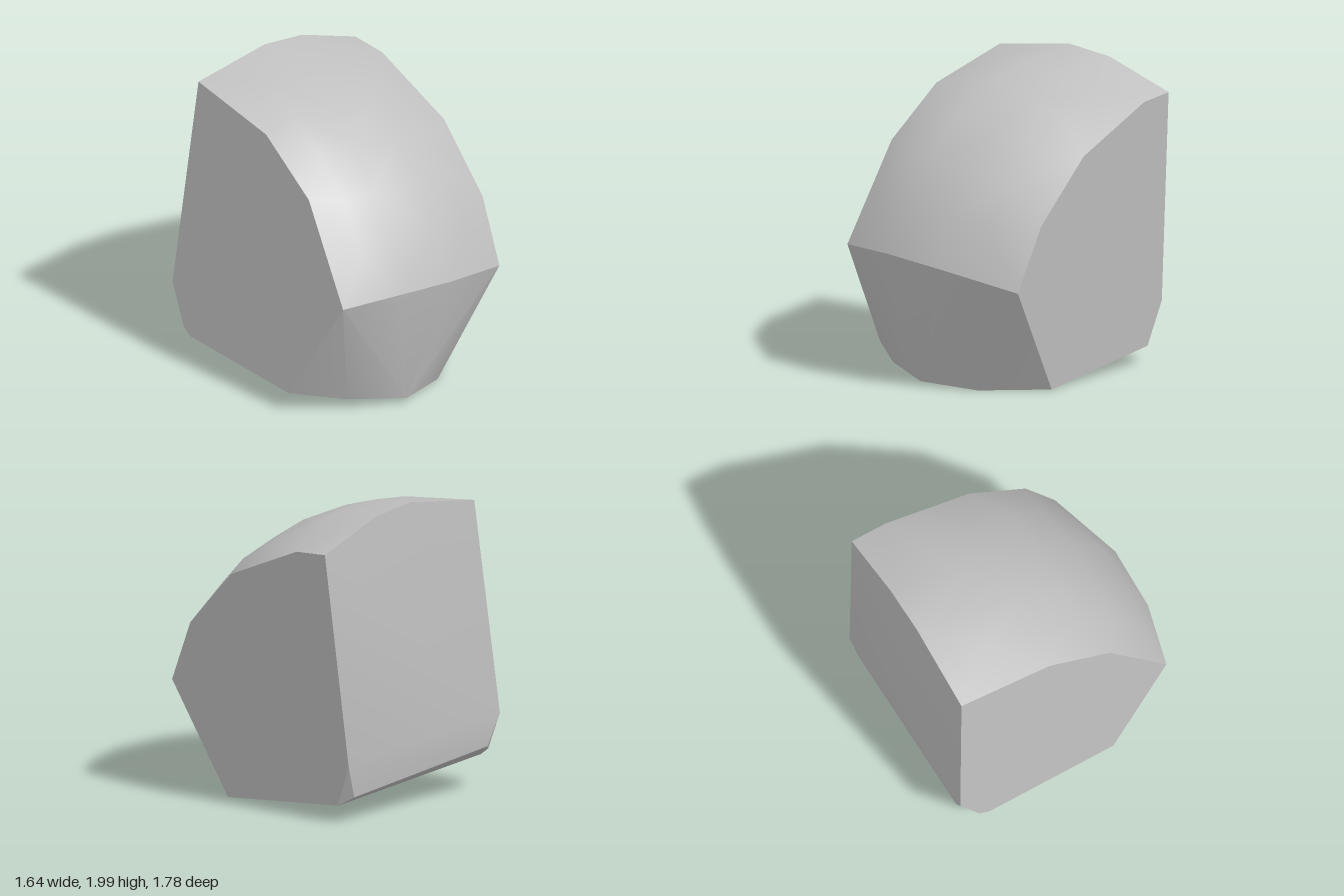
import * as THREE from 'three';
import { toCreasedNormals } from 'three/addons/utils/BufferGeometryUtils.js';
import { ConvexGeometry } from 'three/addons/geometries/ConvexGeometry.js';

const point = (x, y, z) => new THREE.Vector3(x, y, z);

// The two flat side cuts: x follows from y and z.
const leftCut = ([y, z]) => point(0.649 + 0.09 * y + 0.158 * z, y, z);
const rightCut = ([y, z]) => point(-0.754 + 0.1 * y + 0.162 * z, y, z);

// Points of the rounded outer surface, lying on a sphere.
function domePoints() {
  const centre = point(-0.13, 0.4, -0.61), radius = 1.575, points = [];
  for (const x of [-0.33, -0.1, 0.25, 0.55]) {
    const r = Math.sqrt(radius ** 2 - (x - centre.x) ** 2);
    for (const degrees of [29, 42, 54, 67, 79]) {
      const a = THREE.MathUtils.degToRad(degrees);
      points.push(point(x, centre.y + r * Math.sin(a), centre.z + r * Math.cos(a)));
    }
  }
  return points;
}

export function createModel() {
  const stone = new THREE.MeshStandardMaterial({ color: 0xc0c0c0 });
  stone.name = 'light grey stone';

  // Outlines of the flat side cuts, as y, z
  const leftSide = [[1.79, -0.82], [1.77, -0.57], [1.52, 0.03], [1.13, 0.43],
    [0.72, 0.63], [0.01, 0.21], [0.12, -0.77], [0.4, -0.89]].map(leftCut);
  const rightSide = [[1.92, -0.61], [1.78, 0.03], [1.48, 0.46], [0.86, 0.85],
    [0.14, 0.43], [0.21, -0.48], [0.26, -0.55], [0.52, -0.68]].map(rightCut);

  // Edges running between the two sides
  const topBackEdge = [point(-0.1, 2, -0.69), point(0.22, 1.96, -0.74)];
  const frontRidge = [point(-0.12, 0.87, 0.89), point(0.31, 0.83, 0.84)];
  const bottomFrontEdge = [point(-0.35, 0.085, 0.62), point(0.03, 0.04, 0.74), point(0.38, 0.01, 0.57)];
  const bottomBackEdge = [point(0.47, 0.18, -0.85), point(-0.72, 0.31, -0.67)];

  const hull = new ConvexGeometry([
    ...leftSide, ...rightSide, ...topBackEdge, ...frontRidge,
    ...bottomFrontEdge, ...bottomBackEdge, ...domePoints(),
  ]);

  const chunk = new THREE.Mesh(toCreasedNormals(hull, 0.5), stone);
  chunk.name = 'stoneChunk';
  const model = new THREE.Group();
  model.name = 'brokenStone';
  model.add(chunk);
  return model;
}
